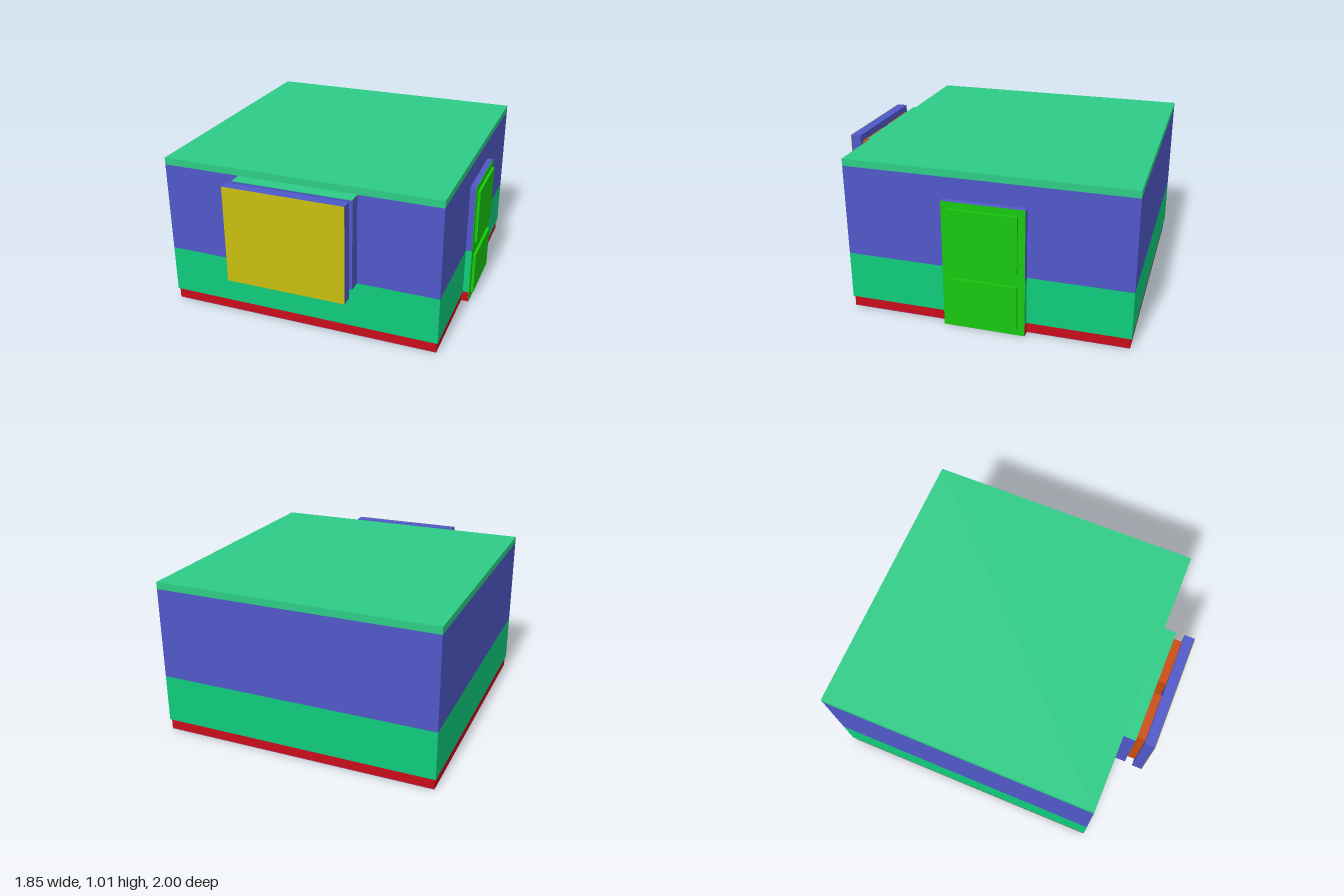
import * as THREE from 'three';

const paint = (color) => new THREE.MeshStandardMaterial({ color });

export function createModel() {
  const model = new THREE.Group();
  model.name = 'building';

  const red = paint(0xc80c19);
  const green = paint(0x0ecc7c);
  const roofGreen = paint(0x2dcc86);
  const blue = paint(0x5058c8);
  const yellow = paint(0xc8be0e);
  const orange = paint(0xc84b0a);
  const doorGreen = paint(0x18c80e);
  const purple = paint(0x9a4478);

  // Box given by its [min, max] extent along each axis
  function block(name, material, [x0, x1], [y0, y1], [z0, z1], parent = model) {
    const mesh = new THREE.Mesh(new THREE.BoxGeometry(x1 - x0, y1 - y0, z1 - z0), material);
    mesh.position.set((x0 + x1) / 2, (y0 + y1) / 2, (z0 + z1) / 2);
    mesh.name = name;
    parent.add(mesh);
    return mesh;
  }

  // Main body: slightly inset plinth, two wall bands and a flat roof
  const wallX = [-0.925, 0.865], wallZ = [-1, 0.795];
  const baseX = [-0.917, 0.857], baseZ = [-0.992, 0.787];
  block('floor', purple, baseX, [0, 0.004], baseZ);
  block('plinth', red, baseX, [0.004, 0.07], baseZ);
  block('lowerWall', green, wallX, [0.07, 0.38], wallZ);
  block('upperWall', blue, wallX, [0.38, 0.965], wallZ);
  block('roof', roofGreen, wallX, [0.965, 1.01], wallZ);

  // Door on the left wall: banded frame, leaf and two raised panels
  const door = new THREE.Group();
  door.name = 'door';
  model.add(door);
  const doorZ = [-0.36, 0.155], frameX = [0.85, 0.904];
  block('doorFrameBase', red, frameX, [0, 0.07], doorZ, door);
  block('doorFrameLower', green, frameX, [0.07, 0.38], doorZ, door);
  block('doorFrameUpper', blue, frameX, [0.38, 0.83], doorZ, door);
  block('doorLeaf', doorGreen, [0.904, 0.907], [0, 0.83], doorZ, door);
  for (const [name, y] of [['lowerDoorPanel', [0.05, 0.335]], ['upperDoorPanel', [0.425, 0.79]]]) {
    block(name, doorGreen, [0.907, 0.925], y, [-0.315, 0.11], door);
  }

  // Front sign: backing slab, two spacers and a bright board
  const sign = new THREE.Group();
  sign.name = 'frontSign';
  model.add(sign);
  const signX = [-0.415, 0.35];
  block('signBacking', blue, signX, [0.38, 0.961], [0.78, 0.875], sign);
  block('signBackingTop', roofGreen, signX, [0.961, 0.965], [0.78, 0.875], sign);
  for (const [name, x] of [['rightSpacer', [-0.382, -0.072]], ['leftSpacer', [0.01, 0.318]]]) {
    block(name, orange, x, [0.412, 0.932], [0.875, 0.93], sign);
  }
  block('signBoard', blue, signX, [0.352, 0.977], [0.93, 0.997], sign);
  block('signFace', yellow, signX, [0.352, 0.977], [0.997, 1], sign);

  return model;
}
